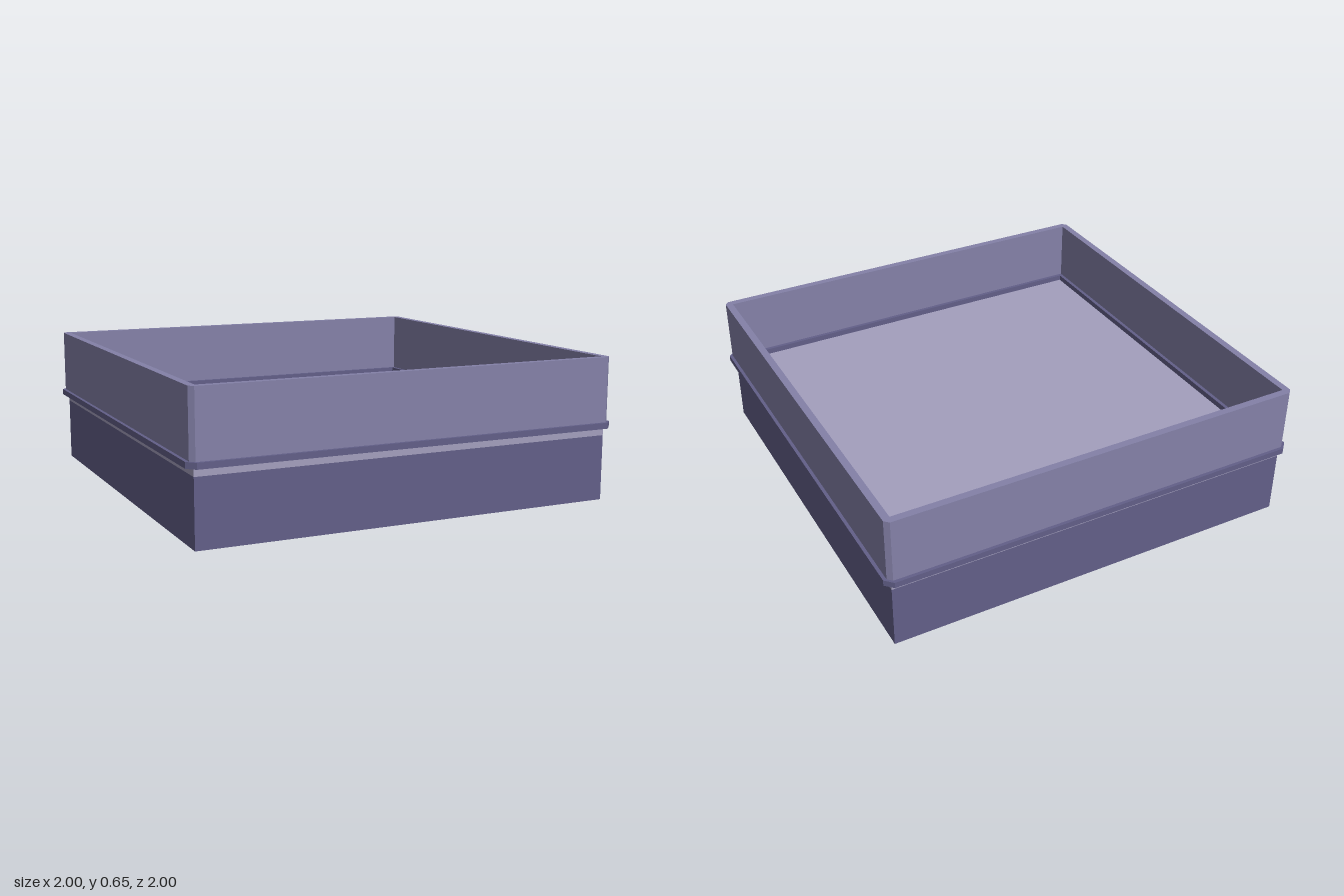
import * as THREE from 'three';

// Square outline with chamfered corners and a square opening
function squareRing(half, chamfer, inner) {
  const shape = new THREE.Shape();
  const c = half - chamfer;
  shape.setFromPoints([
    [c, -half], [half, -c], [half, c], [c, half],
    [-c, half], [-half, c], [-half, -c], [-c, -half],
  ].map(([x, y]) => new THREE.Vector2(x, y)));
  const hole = new THREE.Path();
  hole.setFromPoints([[-1, -1], [-1, 1], [1, 1], [1, -1]]
    .map(([x, y]) => new THREE.Vector2(x * inner, y * inner)));
  shape.holes.push(hole);
  return shape;
}

export function createModel() {
  const group = new THREE.Group();
  group.name = 'squareTray';

  const material = (color) => new THREE.MeshStandardMaterial({ color });
  const dark = material(0x625f88);
  const medium = material(0x8481a8);
  const light = material(0xa39fbd);

  const add = (name, geometry, mat) => {
    const mesh = new THREE.Mesh(geometry, mat);
    mesh.name = name;
    group.add(mesh);
  };

  // Solid box standing between heights y0 and y1
  const block = (name, half, y0, y1, mat) => {
    const g = new THREE.BoxGeometry(half * 2, y1 - y0, half * 2);
    g.translate(0, (y0 + y1) / 2, 0);
    add(name, g, mat);
  };

  // Chamfered square ring standing between heights y0 and y1
  const ring = (name, half, chamfer, inner, y0, y1, mat) => {
    const g = new THREE.ExtrudeGeometry(squareRing(half, chamfer, inner), {
      depth: y1 - y0, bevelEnabled: false,
    });
    g.rotateX(-Math.PI / 2);
    g.translate(0, y0, 0);
    add(name, g, mat);
  };

  block('base', 0.967, 0, 0.295, dark);
  block('floorSlab', 0.967, 0.295, 0.33, light);
  ring('trimBand', 1, 0.035, 0.935, 0.33, 0.357, dark);
  ring('wall', 0.985, 0.02, 0.952, 0.357, 0.65, medium);

  return group;
}
